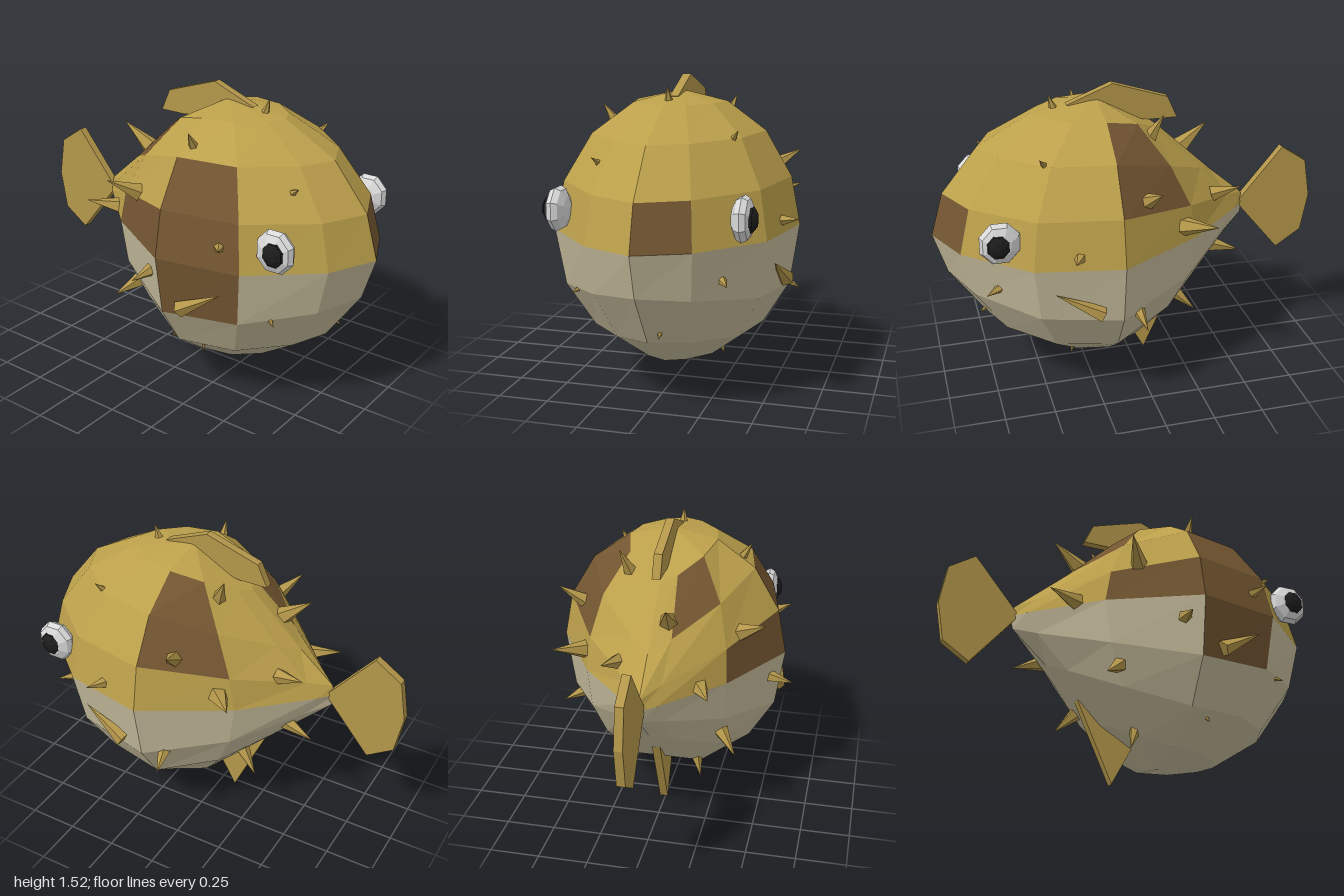
import * as THREE from 'three';

const mat = (name, color) => {
  const m = new THREE.MeshStandardMaterial({ color, flatShading: true });
  m.name = name;
  return m;
};

export function createModel() {
  const gold = mat('gold', 0xbca04b);
  const belly = mat('belly beige', 0xc5bb9b);
  const brown = mat('patch brown', 0x735631);
  const finGold = mat('fin gold', 0xb4974a);
  const white = mat('eye white', 0xd9d9d9);
  const black = mat('pupil black', 0x1c1c1c);

  const model = new THREE.Group();
  model.name = 'pufferfish';
  const midZ = -0.008, midY = 0.81;
  const add = (name, geo, material, parent = model) => {
    const mesh = new THREE.Mesh(geo, material);
    mesh.name = name;
    parent.add(mesh);
    return mesh;
  };

  // Body: rings of 12 points from top to bottom, squeezed towards the tail
  const rowY = [1.45, 1.4, 1.262, 1.043, 0.81, 0.51, 0.3, 0.16, 0.11];
  const frontLift = [0, 0, -0.01, -0.015, 0, 0.09, 0.04, 0, 0];
  const halfZ = [0, 0.248, 0.515, 0.595, 0.515, 0.248, 0];
  const squeeze = [[-0.68, 0.14], [-0.57, 0.28], [-0.434, 0.46], [-0.25, 0.7], [0, 0.94], [0.16, 1]];
  const scaleAt = (x) => {
    const i = squeeze.findIndex(([x1]) => x <= x1);
    if (i < 0) return 1;
    if (i === 0) return squeeze[0][1];
    const [x0, s0] = squeeze[i - 1], [x1, s1] = squeeze[i];
    return THREE.MathUtils.mapLinear(x, x0, x1, s0, s1);
  };
  const bodyPoint = (row, col) => {
    const c = col % 12;
    const t = (c * Math.PI) / 6, r = Math.sin((row * Math.PI) / 8);
    const x = 0.16 + 0.84 * Math.cos(t) * r;
    const s = scaleAt(x);
    const y = rowY[row] + frontLift[row] * Math.max(0, Math.cos(t)) ** 2;
    const z = (c <= 6 ? halfZ[c] : -halfZ[12 - c]) * r;
    return [Math.max(x, -0.63), midY + (y - midY) * s, midZ + z * s];
  };
  // Brown patches as row,column of the body grid
  const patches = new Set(['2,2', '3,2', '4,2', '3,3', '1,4', '1,8', '2,8', '3,11']);
  const skins = { back: [], belly: [], patches: [] };
  for (let row = 0; row < 8; row++) {
    for (let col = 0; col < 12; col++) {
      const a = bodyPoint(row, col), b = bodyPoint(row + 1, col);
      const c = bodyPoint(row + 1, col + 1), d = bodyPoint(row, col + 1);
      const skin = skins[patches.has(row + ',' + col) ? 'patches' : row < 4 ? 'back' : 'belly'];
      if (row > 0) skin.push(...a, ...d, ...c);
      if (row < 7) skin.push(...a, ...c, ...b);
    }
  }
  const body = new THREE.Group();
  body.name = 'body';
  model.add(body);
  const skinMats = { back: gold, belly, patches: brown };
  for (const key of Object.keys(skins)) {
    const geo = new THREE.BufferGeometry();
    geo.setAttribute('position', new THREE.Float32BufferAttribute(skins[key], 3));
    geo.computeVertexNormals();
    add(key, geo, skinMats[key], body);
  }

  // Flat fins on the centre line
  const fin = (name, pts) => {
    const shape = new THREE.Shape(pts.map(([x, y]) => new THREE.Vector2(x, y)));
    const geo = new THREE.ExtrudeGeometry(shape, { depth: 0.042, bevelEnabled: false });
    geo.translate(0, 0, midZ - 0.021);
    add(name, geo, finGold);
  };
  fin('tailFin', [[-0.59, 0.81], [-0.83, 1.1], [-0.965, 1.01], [-1, 0.81], [-0.965, 0.61], [-0.83, 0.52]]);
  fin('dorsalFin', [[-0.25, 1.32], [-0.2, 1.43], [0.08, 1.52], [0.31, 1.43], [0.1, 1.36], [-0.1, 1.32]]);
  fin('analFin', [[-0.085, 0], [0.03, 0.21], [-0.03, 0.42], [-0.27, 0.41]]);

  // Cone running from a base point to a tip
  const spike = (name, base, tip, radius) => {
    const dir = tip.clone().sub(base);
    const len = dir.length();
    const geo = new THREE.ConeGeometry(radius, len, 5);
    geo.translate(0, len / 2, 0);
    const mesh = add(name, geo, finGold);
    mesh.position.copy(base);
    mesh.quaternion.setFromUnitVectors(new THREE.Vector3(0, 1, 0), dir.normalize());
  };

  // Side fins and eyes, mirrored
  for (const side of [1, -1]) {
    spike('sideFin', new THREE.Vector3(0.265, 0.56, midZ + side * 0.55),
      new THREE.Vector3(0.49, 0.69, midZ + side * 0.535), 0.042);

    const eye = new THREE.Group();
    eye.name = 'eye';
    eye.position.set(0.72, 0.94, midZ + side * 0.435);
    model.add(eye);
    const ball = (name, size, x, z, material) => {
      const geo = new THREE.SphereGeometry(1, 8, 6);
      geo.rotateX(Math.PI / 2);
      geo.rotateZ(Math.PI / 8);
      geo.scale(...size);
      add(name, geo, material, eye).position.set(x, 0, side * z);
    };
    ball('eyeball', [0.102, 0.11, 0.053], 0, 0, white);
    ball('pupil', [0.06, 0.067, 0.045], 0.01, 0.026, black);
  }

  // Spines point away from the body centre: tip x, y, z and length
  const centre = new THREE.Vector3(0.16, 0.78, 0);
  const spines = [
    [-0.445, 1.24, 0.08, 0.18], [0.205, 1.38, 0.39, 0.1], [0.395, 1.485, 0, 0.08],
    [0.73, 1.185, 0.26, 0.06], [-0.19, 1.1, 0.52, 0.16], [0.515, 0.94, 0.58, 0.08],
    [-0.53, 0.845, 0.3, 0.18], [-0.545, 0.985, -0.21, 0.14], [-0.575, 0.585, -0.13, 0.15],
    [-0.27, 0.41, 0.4, 0.17], [-0.31, 0.31, -0.22, 0.15], [-0.315, 0.93, -0.53, 0.18],
    [-0.02, 1.155, -0.575, 0.15], [-0.125, 1.41, -0.22, 0.13], [0.405, 0.885, -0.645, 0.1],
    [0.51, 1.3, -0.37, 0.08], [0.79, 0.64, -0.39, 0.06], [0.8, 0.375, -0.075, 0.04],
    [0.37, 0.185, -0.28, 0.05], [0.05, 0.455, -0.595, 0.11], [0.06, 0.685, 0.645, 0.11],
    [0.695, 0.53, 0.385, 0.06], [0.275, 0.25, 0.37, 0.06], [-0.06, 0.13, 0.19, 0.12],
  ];
  for (const [x, y, z, length] of spines) {
    const tip = new THREE.Vector3(x, y, z);
    const out = tip.clone().sub(centre).normalize();
    spike('spike', tip.clone().addScaledVector(out, -length - 0.02), tip, 0.01 + 0.22 * length);
  }

  return model;
}
